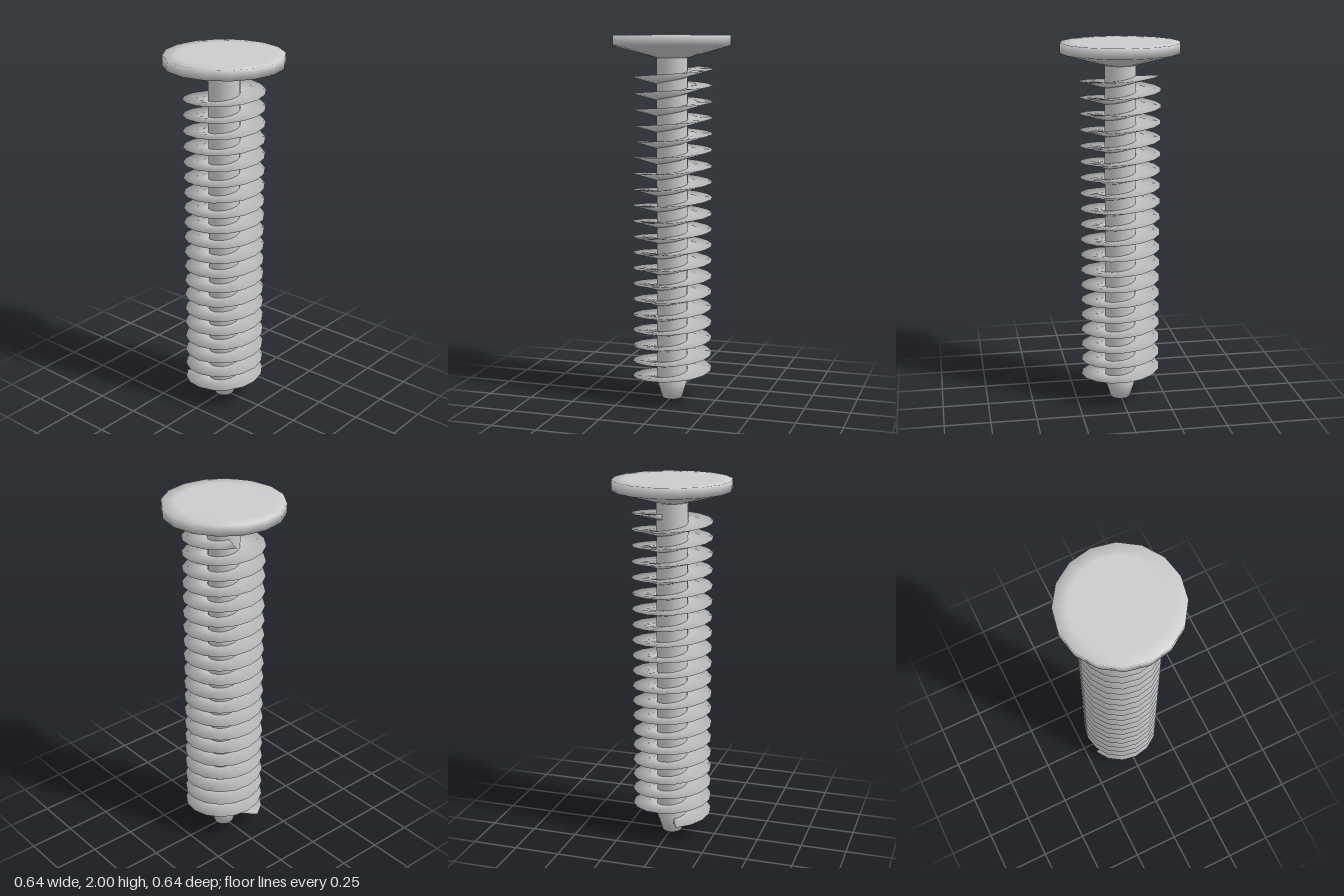
import * as THREE from 'three';

const SIDES = 16;
const material = new THREE.MeshStandardMaterial({ color: 0xcccccc });

// Smooth turned part from [radius, height] pairs, listed bottom to top
function turned(name, profile) {
  const points = profile.map(([r, y]) => new THREE.Vector2(r, y));
  const mesh = new THREE.Mesh(new THREE.LatheGeometry(points, SIDES), material);
  mesh.name = name;
  return mesh;
}

// Right-handed ridge with a flat top and a sloping underside
function threadGeometry() {
  const startY = 0.1, pitch = 0.087, turns = 20;
  const section = [[0.22, 0], [0.08, -0.04], [0.08, -0.01]]; // crest, lower root, upper root
  const positions = [], index = [];
  const first = 1, last = turns * SIDES - 1;
  for (let i = first; i <= last; i++) {
    const a = (i / SIDES) * Math.PI * 2;
    for (const [r, dy] of section) {
      positions.push(-r * Math.cos(a), startY + (pitch * i) / SIDES + dy, r * Math.sin(a));
    }
    if (i === last) break;
    const ring = (i - first) * 3;
    for (let k = 0; k < 3; k++) {
      const p = ring + k, q = ring + (k + 1) % 3;
      index.push(p, q, p + 3, q, q + 3, p + 3);
    }
  }
  // Close both ends
  const end = (last - first) * 3;
  index.push(0, 2, 1, end, end + 1, end + 2);

  const geometry = new THREE.BufferGeometry();
  geometry.setAttribute('position', new THREE.Float32BufferAttribute(positions, 3));
  geometry.setIndex(index);
  geometry.computeVertexNormals();
  return geometry;
}

export function createModel() {
  const screw = new THREE.Group();
  screw.name = 'screw';

  // Countersunk head with a short upright rim
  screw.add(turned('head', [[0.085, 1.88], [0.32, 1.945], [0.32, 2], [0.25, 2], [0, 2]]));

  // Core with a blunt tapered tip
  screw.add(turned('shaft', [[0, 0], [0.055, 0], [0.085, 0.095], [0.085, 1.885]]));

  const thread = new THREE.Mesh(threadGeometry(), material);
  thread.name = 'thread';
  screw.add(thread);

  return screw;
}
